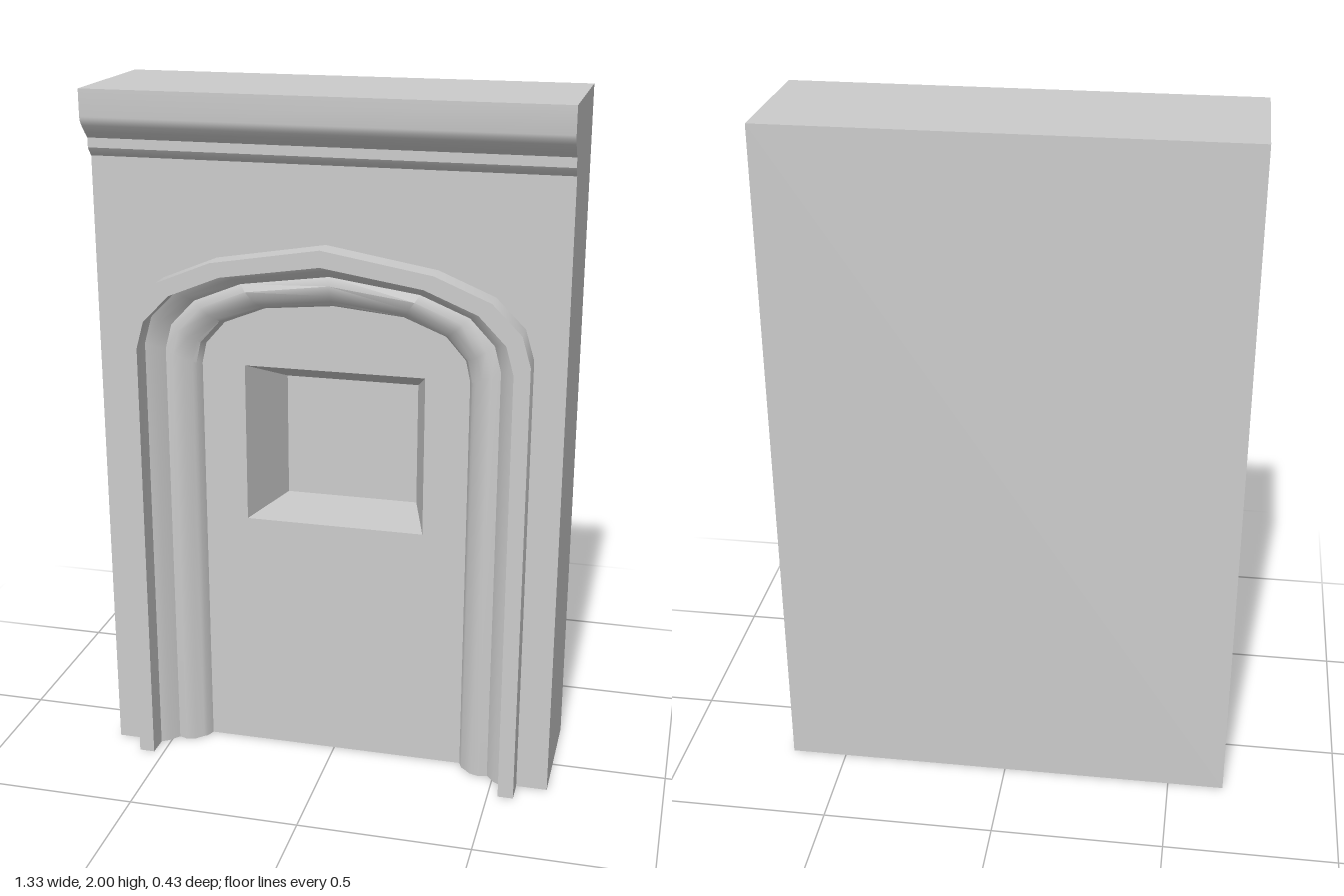
import * as THREE from 'three';
import { toCreasedNormals } from 'three/addons/utils/BufferGeometryUtils.js';

const W = 0.665, H = 2;
const BACK = -0.215, NICHE_Z = -0.17, PANEL_Z = 0.06, WALL_Z = 0.147;

const material = new THREE.MeshStandardMaterial({ color: 0xcccccc });
const thin = new THREE.MeshStandardMaterial({ color: 0xcccccc, side: THREE.DoubleSide });

// Right half of the arch line, outermost and innermost
const OUTER = [[0.575, 0], [0.575, 1.31], [0.55, 1.395], [0.467, 1.478], [0.31, 1.543], [0, 1.595]];
const INNER = [[0.39, 0], [0.39, 1.21], [0.377, 1.27], [0.32, 1.335], [0.2, 1.383], [0, 1.402]];

// Moulding section: distance from the centre line, depth
const SECTION = [
  [0.575, PANEL_Z], [0.575, 0.217], [0.53, 0.217], [0.528, 0.155], [0.505, 0.14], [0.482, 0.112],
  [0.458, 0.12], [0.43, 0.112], [0.41, 0.092], [0.4, 0.085], [0.39, PANEL_Z],
];

function shapeOf(points) {
  return new THREE.Shape(points.map(([x, y]) => new THREE.Vector2(x, y)));
}

function part(name, geometry, mat = material) {
  const mesh = new THREE.Mesh(geometry, mat);
  mesh.name = name;
  return mesh;
}

function slab(name, shape, z0, z1) {
  const geometry = new THREE.ExtrudeGeometry(shape, { depth: z1 - z0, bevelEnabled: false });
  return part(name, geometry.translate(0, 0, z0));
}

// Full arch from right foot to left foot, t = 0 outermost, 1 innermost
function archLine(t) {
  const right = OUTER.map(([x, y], i) => [
    THREE.MathUtils.lerp(x, INNER[i][0], t), THREE.MathUtils.lerp(y, INNER[i][1], t),
  ]);
  const left = right.slice(0, -1).reverse().map(([x, y]) => [-x, y]);
  return [...right, ...left];
}

// Sweeps the section along the arch
function mouldingGeometry() {
  const positions = [], index = [];
  const rows = SECTION.length, columns = OUTER.length * 2 - 1;
  for (const [x, z] of SECTION) {
    for (const [px, py] of archLine((0.575 - x) / 0.185)) positions.push(px, py, z);
  }
  for (let j = 0; j < rows - 1; j++) {
    for (let i = 0; i < columns - 1; i++) {
      const a = j * columns + i, b = a + columns;
      index.push(a, a + 1, b, b, a + 1, b + 1);
    }
  }
  const geometry = new THREE.BufferGeometry();
  geometry.setAttribute('position', new THREE.Float32BufferAttribute(positions, 3));
  geometry.setIndex(index);
  return toCreasedNormals(geometry, 0.6);
}

// Tapered window recess: four sloping sides and a back
function nicheGeometry() {
  const front = [[-0.263, 0.737], [0.263, 0.737], [0.263, 1.21], [-0.263, 1.21]];
  const back = [[-0.2, 0.742], [0.2, 0.742], [0.2, 1.115], [-0.2, 1.115]];
  const positions = [
    ...front.flatMap(([x, y]) => [x, y, PANEL_Z]),
    ...back.flatMap(([x, y]) => [x, y, NICHE_Z + 0.002]),
  ];
  const index = [4, 5, 6, 4, 6, 7];
  for (let i = 0; i < 4; i++) {
    const n = (i + 1) % 4;
    index.push(i, n, 4 + n, i, 4 + n, 4 + i);
  }
  const geometry = new THREE.BufferGeometry();
  geometry.setAttribute('position', new THREE.Float32BufferAttribute(positions, 3));
  geometry.setIndex(index);
  return { front, geometry: toCreasedNormals(geometry, 0.3) };
}

export function createModel() {
  const model = new THREE.Group();
  model.name = 'archedDoorwayWall';
  const corners = [[-W, 0], [W, 0], [W, H], [-W, H]];
  const niche = nicheGeometry();

  // Wall body: solid back, core pierced by the window, front cut by the arch
  model.add(slab('wallBack', shapeOf(corners), BACK, NICHE_Z));
  const core = shapeOf(corners);
  core.holes.push(shapeOf(niche.front));
  model.add(slab('doorPanel', core, NICHE_Z, PANEL_Z));
  const facing = shapeOf([[-W, 0], ...archLine(0).reverse(), [W, 0], [W, H], [-W, H]]);
  model.add(slab('wallFront', facing, PANEL_Z, WALL_Z));
  model.add(part('windowRecess', niche.geometry, thin));

  // Arch moulding with closed feet
  const arch = new THREE.Group();
  arch.name = 'archMoulding';
  arch.add(part('archTrim', mouldingGeometry()));
  for (const side of [1, -1]) {
    const foot = new THREE.ShapeGeometry(shapeOf(SECTION.map(([x, z]) => [side * x, z])));
    arch.add(part(side > 0 ? 'leftFoot' : 'rightFoot', foot.rotateX(Math.PI / 2)));
  }
  model.add(arch);

  // Cornice: side profile (depth, height) run across the full width
  const profile = [
    [WALL_Z, H], [WALL_Z, 1.81], [0.152, 1.815], [0.163, 1.828], [0.168, 1.835], [0.168, 1.862],
    [0.185, 1.878], [0.205, 1.9], [0.215, 1.915], [0.217, 1.925], [0.217, H],
  ];
  const run = new THREE.ExtrudeGeometry(shapeOf(profile), { depth: 2 * W, bevelEnabled: false });
  run.rotateY(-Math.PI / 2).translate(W, 0, 0);
  model.add(part('cornice', toCreasedNormals(run, 0.5)));

  return model;
}
